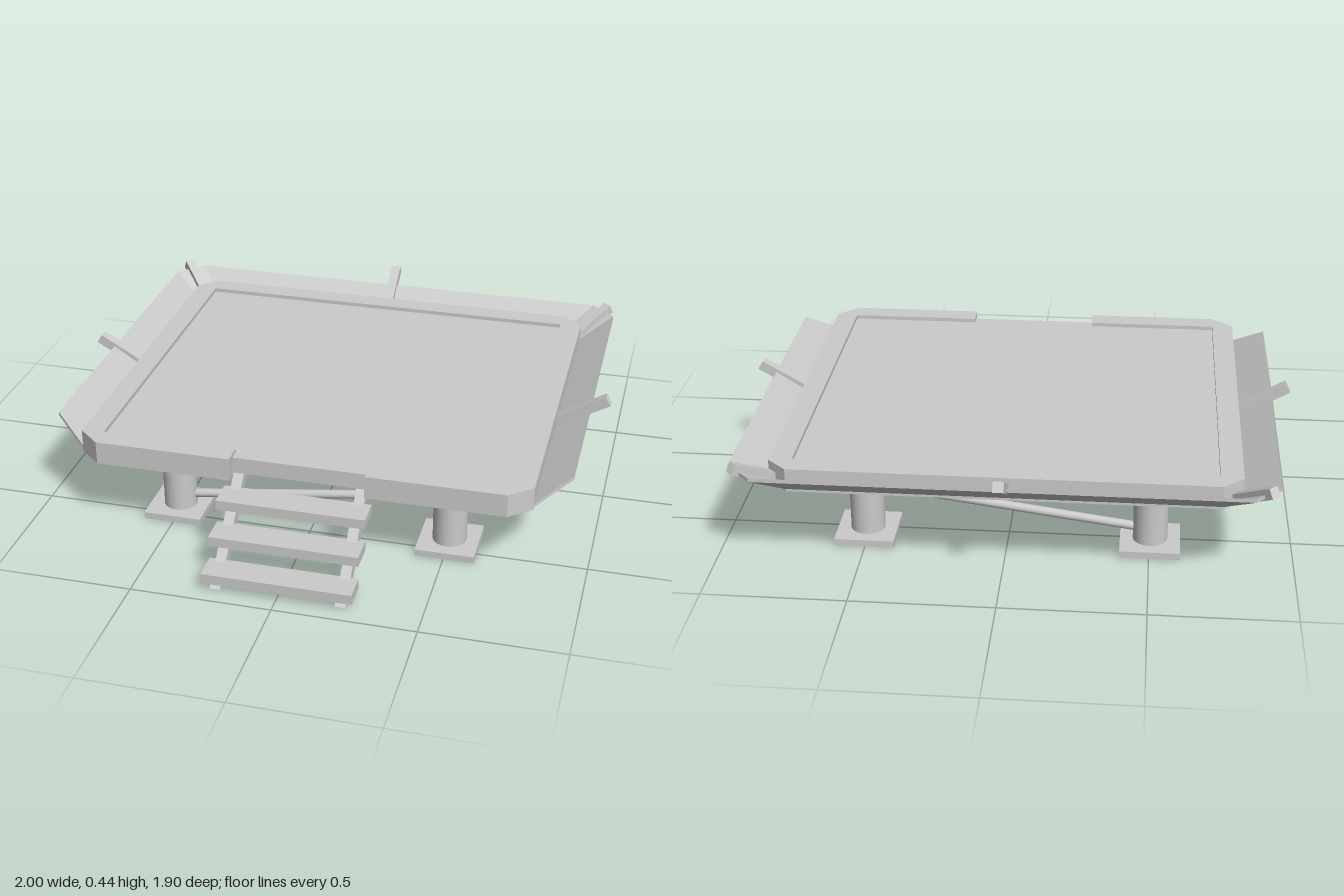
import * as THREE from 'three';

const grey = new THREE.MeshStandardMaterial({ color: 0xcccccc });
const net = new THREE.MeshStandardMaterial({ color: 0xcccccc, side: THREE.DoubleSide, flatShading: true });

export function createModel() {
  const model = new THREE.Group();
  const add = (name, geometry, material = grey) => {
    const mesh = new THREE.Mesh(geometry, material);
    mesh.name = name;
    model.add(mesh);
    return mesh;
  };
  const box = (name, w, h, d, x, y, z) => add(name, new THREE.BoxGeometry(w, h, d).translate(x, y, z));
  // Horizontal slab from an outline of [x, z] points
  const slab = (name, outline, top, thickness) => {
    const shape = new THREE.Shape(outline.map(([x, z]) => new THREE.Vector2(x, z)));
    const geometry = new THREE.ExtrudeGeometry(shape, { depth: thickness, bevelEnabled: false });
    return add(name, geometry.rotateX(Math.PI / 2).translate(0, top, 0));
  };
  // Round or square bar between two points
  const bar = (name, a, b, size, round) => {
    const from = new THREE.Vector3(...a), to = new THREE.Vector3(...b);
    const length = from.distanceTo(to);
    const geometry = round
      ? new THREE.CylinderGeometry(size, size, length, 12).rotateX(Math.PI / 2)
      : new THREE.BoxGeometry(size, size, length);
    const mesh = add(name, geometry);
    mesh.position.copy(from).lerp(to, 0.5);
    mesh.lookAt(to);
    return mesh;
  };

  // Raised rim with chamfered corners, open at the stairs
  slab('deckRim', [
    [0.24, 0.67], [0.73, 0.67], [0.81, 0.6], [0.81, -0.7], [0.74, -0.765],
    [-0.74, -0.765], [-0.81, -0.7], [-0.81, 0.6], [-0.73, 0.67], [-0.24, 0.67],
    [-0.24, 0.59], [-0.73, 0.59], [-0.73, -0.685], [0.73, -0.685], [0.73, 0.59], [0.24, 0.59],
  ], 0.362, 0.085);

  // Recessed landing floor, reaching into the stair opening
  slab('deckFloor', [
    [0.73, 0.59], [0.73, -0.685], [-0.73, -0.685], [-0.73, 0.59],
    [-0.24, 0.59], [-0.24, 0.63], [0.24, 0.63], [0.24, 0.59],
  ], 0.347, 0.06);

  // Sloping safety skirt around three sides: a thin four-point section swept along the rim
  const half = [[[0.81, 0.6], [0.93, 0.52]], [[0.81, -0.7], [0.93, -0.78]], [[0.74, -0.765], [0.84, -0.868]]];
  const path = [...half, ...half.slice().reverse().map(pair => pair.map(([x, z]) => [-x, z]))];
  const positions = [], indices = [];
  path.forEach(([[xi, zi], [xo, zo]]) => {
    positions.push(xi, 0.3, zi, xo, 0.378, zo, xo, 0.364, zo, xi, 0.286, zi);
  });
  for (let i = 0; i < path.length - 1; i++) {
    for (let j = 0; j < 4; j++) {
      const a = i * 4 + j, b = i * 4 + (j + 1) % 4;
      indices.push(a, b, a + 4, b, b + 4, a + 4);
    }
  }
  const end = (path.length - 1) * 4;
  indices.push(0, 2, 1, 0, 3, 2, end, end + 1, end + 2, end, end + 2, end + 3);
  const skirt = new THREE.BufferGeometry();
  skirt.setAttribute('position', new THREE.Float32BufferAttribute(positions, 3));
  skirt.setIndex(indices);
  skirt.computeVertexNormals();
  add('safetySkirt', skirt, net);

  // Outriggers carrying the skirt
  [
    [[0.8, 0.295, -0.007], [0.99, 0.404, -0.007]],
    [[-0.8, 0.295, -0.05], [-0.99, 0.404, -0.05]],
    [[-0.004, 0.31, -0.755], [-0.004, 0.422, -0.939]],
    [[0.785, 0.3, -0.705], [0.905, 0.392, -0.83]],
    [[-0.785, 0.3, -0.725], [-0.9, 0.392, -0.845]],
  ].forEach(([a, b]) => bar('outrigger', a, b, 0.037, false));

  // Legs with a thicker sleeve and a square foot
  const legX = 0.503, front = 0.455, back = -0.54;
  for (const x of [-legX, legX]) {
    for (const z of [front, back]) {
      box('foot', 0.212, 0.025, 0.212, x, 0.0125, z);
      add('legSleeve', new THREE.CylinderGeometry(0.061, 0.061, 0.195, 24).translate(x, 0.1225, z));
      add('legPost', new THREE.CylinderGeometry(0.054, 0.054, 0.08, 24).translate(x, 0.255, z));
    }
    // Side bracing
    bar('sideRail', [x, 0.243, front], [x, 0.243, back], 0.014, true);
    bar('sideDiagonal', [x, 0.066, front], [x, 0.197, back], 0.016, true);
  }
  // Front and back bracing
  for (const z of [front, back]) {
    bar('crossRail', [-legX, 0.243, z], [legX, 0.243, z], 0.014, true);
    bar('crossDiagonal', [-legX, 0.063, z], [legX, 0.2, z], 0.016, true);
  }

  // Stair treads
  for (let i = 0; i < 3; i++) {
    box('tread', 0.528, 0.036, 0.104, 0, 0.048 + i * 0.09, 0.895 - i * 0.094);
  }
  // Stair stringers, cut flat at the ground and under the deck
  for (const x of [-0.22, 0.22]) {
    const side = new THREE.Shape([[0.93, 0], [0.625, 0.287], [0.565, 0.287], [0.87, 0]]
      .map(([z, y]) => new THREE.Vector2(-z, y)));
    const geometry = new THREE.ExtrudeGeometry(side, { depth: 0.037, bevelEnabled: false });
    add('stringer', geometry.rotateY(Math.PI / 2).translate(x - 0.0185, 0, 0));
  }
  return model;
}
